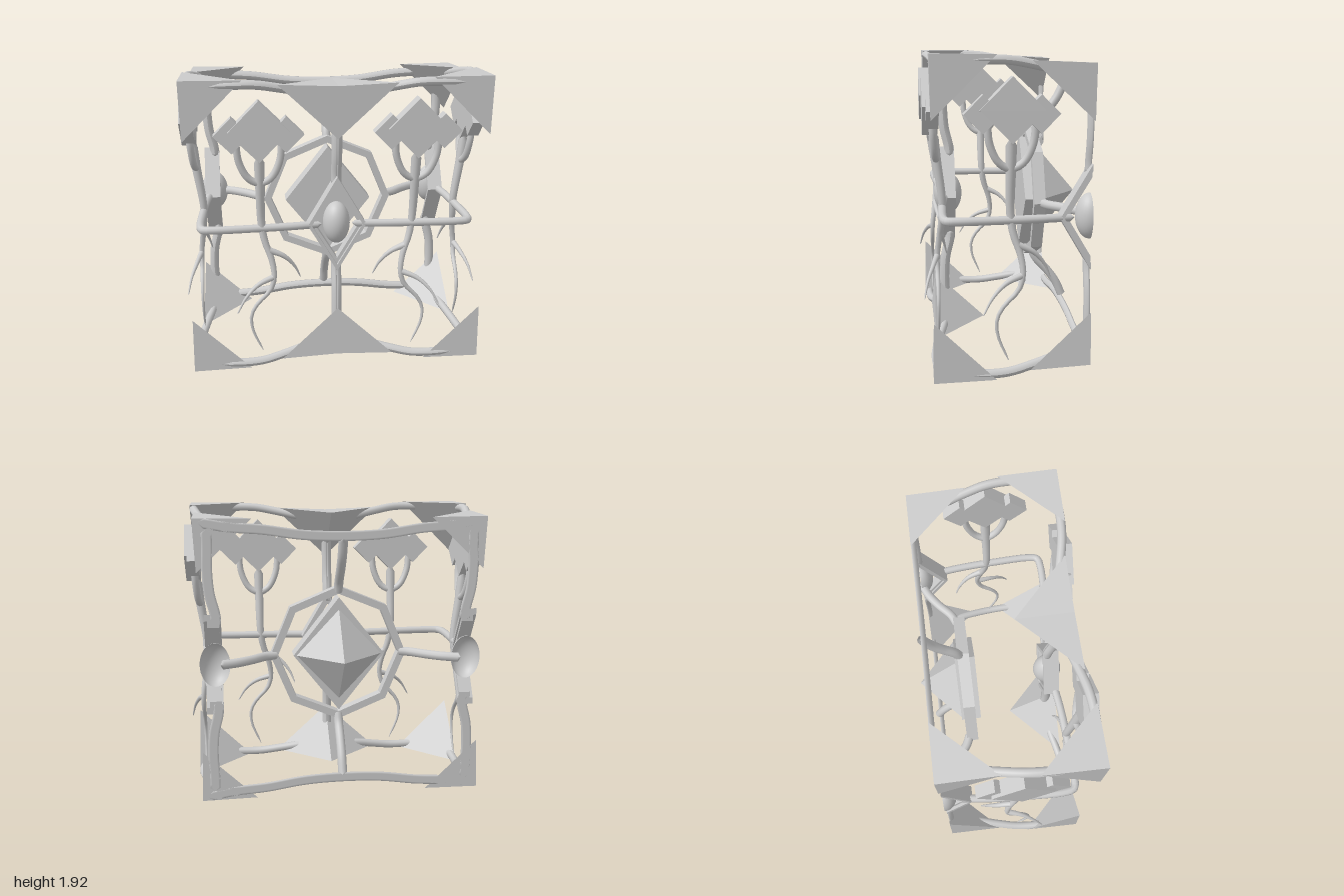
import * as THREE from 'three';
import { ConvexGeometry } from 'three/addons/geometries/ConvexGeometry.js';

const MID = 0.965; // height of the middle plane
const BACK = -0.46; // plane of the cage axis, where the sides end
const smooth = new THREE.MeshStandardMaterial({ color: 0xcccccc, side: THREE.DoubleSide });
const flat = new THREE.MeshStandardMaterial({ color: 0xcccccc, flatShading: true, side: THREE.DoubleSide });
const V = (x, y, z) => new THREE.Vector3(x, y, z);

function add(parent, name, geometry, material = smooth) {
  const mesh = new THREE.Mesh(geometry, material);
  mesh.name = name;
  parent.add(mesh);
  return mesh;
}

// tube through points, tapering from r0 to r1, with rounded ends
function rod(points, r0, r1 = r0, segments = 28) {
  const curve = new THREE.CatmullRomCurve3(points.map((p) => V(...p)));
  const sides = 10;
  const geo = new THREE.TubeGeometry(curve, segments, 1, sides, false);
  const pos = geo.attributes.position;
  const v = V(0, 0, 0);
  for (let i = 0; i <= segments; i++) {
    const t = i / segments;
    const c = curve.getPointAt(t);
    const r = i === 0 || i === segments ? 0.002 : r0 + (r1 - r0) * t;
    for (let j = 0; j <= sides; j++) {
      const k = i * (sides + 1) + j;
      v.fromBufferAttribute(pos, k).sub(c).multiplyScalar(r).add(c);
      pos.setXYZ(k, v.x, v.y, v.z);
    }
  }
  return geo;
}

// flatten everything beyond a plane on one axis
function cut(geo, axis, sign) {
  const a = geo.attributes.position;
  for (let i = 0; i < a.count; i++) {
    if (a.getComponent(i, axis) * sign < 0) a.setComponent(i, axis, 0);
  }
  geo.computeVertexNormals();
  return geo;
}

function slab(points, z0, z1, hole) {
  const shape = new THREE.Shape(points.map((p) => new THREE.Vector2(...p)));
  if (hole) shape.holes.push(new THREE.Path(hole.map((p) => new THREE.Vector2(...p))));
  return new THREE.ExtrudeGeometry(shape, { depth: z1 - z0, bevelEnabled: false }).translate(0, 0, z0);
}

const diamond = (w, h, x = 0, y = 0) => [[x + w, y], [x, y + h], [x - w, y], [x, y - h]];

// stem with a forked crown of square blossoms and trailing roots
function plant(s) {
  const g = new THREE.Group();
  g.name = 'plant';
  const limb = (name, pts, r0, r1) => add(g, name, rod(pts.map(([x, y, z]) => [s * x, y, z]), r0, r1));
  limb('stem', [[0.49, 1.46, 0.92], [0.49, 1.28, 0.9], [0.487, 1, 0.865], [0.47, 0.88, 0.87], [0.43, 0.76, 0.885],
    [0.415, 0.64, 0.9], [0.44, 0.55, 0.9], [0.53, 0.45, 0.9], [0.57, 0.37, 0.9], [0.565, 0.27, 0.9], [0.5, 0.11, 0.9]], 0.034, 0.006);
  limb('innerRoot', [[0.45, 0.82, 0.88], [0.35, 0.77, 0.87], [0.28, 0.69, 0.85], [0.24, 0.6, 0.83]], 0.022, 0.004);
  limb('outerRoot', [[0.415, 0.64, 0.9], [0.52, 0.6, 0.93], [0.6, 0.53, 0.965], [0.66, 0.43, 0.99]], 0.02, 0.004);
  limb('crownFork', [[0.35, 1.56, 0.93], [0.365, 1.42, 0.92], [0.42, 1.31, 0.91], [0.49, 1.275, 0.9],
    [0.56, 1.31, 0.91], [0.615, 1.42, 0.92], [0.63, 1.56, 0.93]], 0.023);
  add(g, 'largeBlossom', slab(diamond(0.187, 0.187, s * 0.49, 1.613), 0.89, 0.985), flat);
  for (const d of [-1, 1]) {
    add(g, 'smallBlossom', slab(diamond(0.11, 0.11, s * (0.49 + d * 0.165), 1.59), 0.89, 0.965), flat);
  }
  return g;
}

// one half of a cage wall: s = 1 or -1 picks the side, z is the distance from the cage axis
function halfWall(s) {
  const g = new THREE.Group();
  g.name = 'halfWall';
  g.add(plant(s));

  // middle rail, half of the eye and its diamond frame
  add(g, 'middleRail', rod([[0.1, 0.83], [0.3, 0.855], [0.55, 0.87], [0.8, 0.875], [0.86, 0.86], [0.88, 0.8]]
    .map(([x, z]) => [s * x, MID, z]), 0.026));
  const eye = new THREE.SphereGeometry(1, 14, 20, s > 0 ? Math.PI / 2 : Math.PI * 1.5, Math.PI);
  add(g, 'eye', eye.scale(0.088, 0.14, 0.095).translate(0, MID, 0.805));
  const frame = (w, h, t, z0, z1) => add(g, 'diamondFrame', slab([[0, h], [s * w, 0], [0, -h], [0, -h + t * 1.7],
    [s * (w - t), 0], [0, h - t * 1.7]], z0, z1).translate(0, MID, 0), flat);
  frame(0.19, 0.32, 0.025, 0.76, 0.865);
  frame(0.168, 0.28, 0.025, 0.77, 0.845);

  for (const d of [-1, 1]) {
    const Y = (h) => MID + d * h; // mirrored above and below the middle
    const post = rod([[0, Y(0.24), 0.79], [0, Y(0.32), 0.795], [0, Y(0.45), 0.825],
      [0, Y(0.6), 0.835], [0, Y(0.72), 0.83], [0, Y(0.84), 0.83]], 0.034);
    add(g, 'centrePost', cut(post, 0, s));
    const rim = [[0, 0.85, 0.84], [0.2, 0.865, 0.85], [0.35, 0.895, 0.885], [0.5, 0.922, 0.915], [0.65, 0.925, 0.925], [0.9, 0.915, 0.91]];
    add(g, 'rim', cut(rod(rim.map(([x, h, z]) => [s * x, Y(h), z]), 0.028), 0, s));
    // half of the cap that folds over the middle of the rim
    add(g, 'edgeCap', new ConvexGeometry([V(0, Y(0.905), 0.915), V(s * 0.37, Y(0.92), 0.915),
      V(0, Y(0.575), 0.9), V(0, Y(0.9), 0.56)]), flat);
  }
  return g;
}

// medallion with ring, diamond block, point and struts
function core() {
  const g = new THREE.Group();
  g.name = 'core';
  g.position.y = MID;
  const octagon = (r) => Array.from({ length: 8 }, (_, i) => [r * Math.cos(i * Math.PI / 4), r * Math.sin(i * Math.PI / 4)]);
  add(g, 'octagonRing', slab(octagon(0.45), 0.2, 0.275, octagon(0.4)), flat);
  add(g, 'diamondBlock', slab(diamond(0.3, 0.38), 0.18, 0.31), flat);
  add(g, 'point', new ConvexGeometry([...diamond(0.28, 0.3).map(([x, y]) => V(x, y, 0.18)), V(0, 0, -0.075)]), flat);
  for (let i = 0; i < 4; i++) {
    const strut = rod([[0.4, 0, 0.225], [0.48, 0, 0.19], [0.57, 0, 0.11], [0.66, 0, 0.045], [0.77, 0, -0.005]], 0.03);
    add(g, 'strut', strut.rotateZ(i * Math.PI / 2));
  }
  return g;
}

export function createModel() {
  const model = new THREE.Group();
  model.name = 'cage';
  const cage = new THREE.Group();
  cage.name = 'cageBody';
  cage.position.z = BACK;
  model.add(cage);

  // whole front wall, front halves of the two side walls
  for (const [s, turn] of [[1, 0], [-1, 0], [-1, 1], [1, -1]]) {
    const wall = halfWall(s);
    wall.rotation.y = turn * Math.PI / 2;
    cage.add(wall);
  }
  for (const d of [-1, 1]) {
    const Y = (h) => MID + d * h;
    // beam across the roof and floor
    const beam = [0.88, 0.7, 0.5, 0.25].map((x, i) => [x, Y([0.88, 0.85, 0.835, 0.8][i]), 0]);
    const pts = [...beam.map(([x, y, z]) => [-x, y, z]), [0, Y(0.79), 0], ...beam.reverse()];
    add(cage, 'crossBeam', cut(rod(pts, 0.032, 0.032, 48), 2, 1));
    // corner caps
    for (const s of [-1, 1]) {
      add(cage, 'cornerCap', new ConvexGeometry([V(s * 0.955, Y(0.958), 0.95), V(s * 0.58, Y(0.955), 0.945),
        V(s * 0.95, Y(0.59), 0.945), V(s * 0.95, Y(0.955), 0.575)]), flat);
    }
  }
  cage.add(core());
  return model;
}
